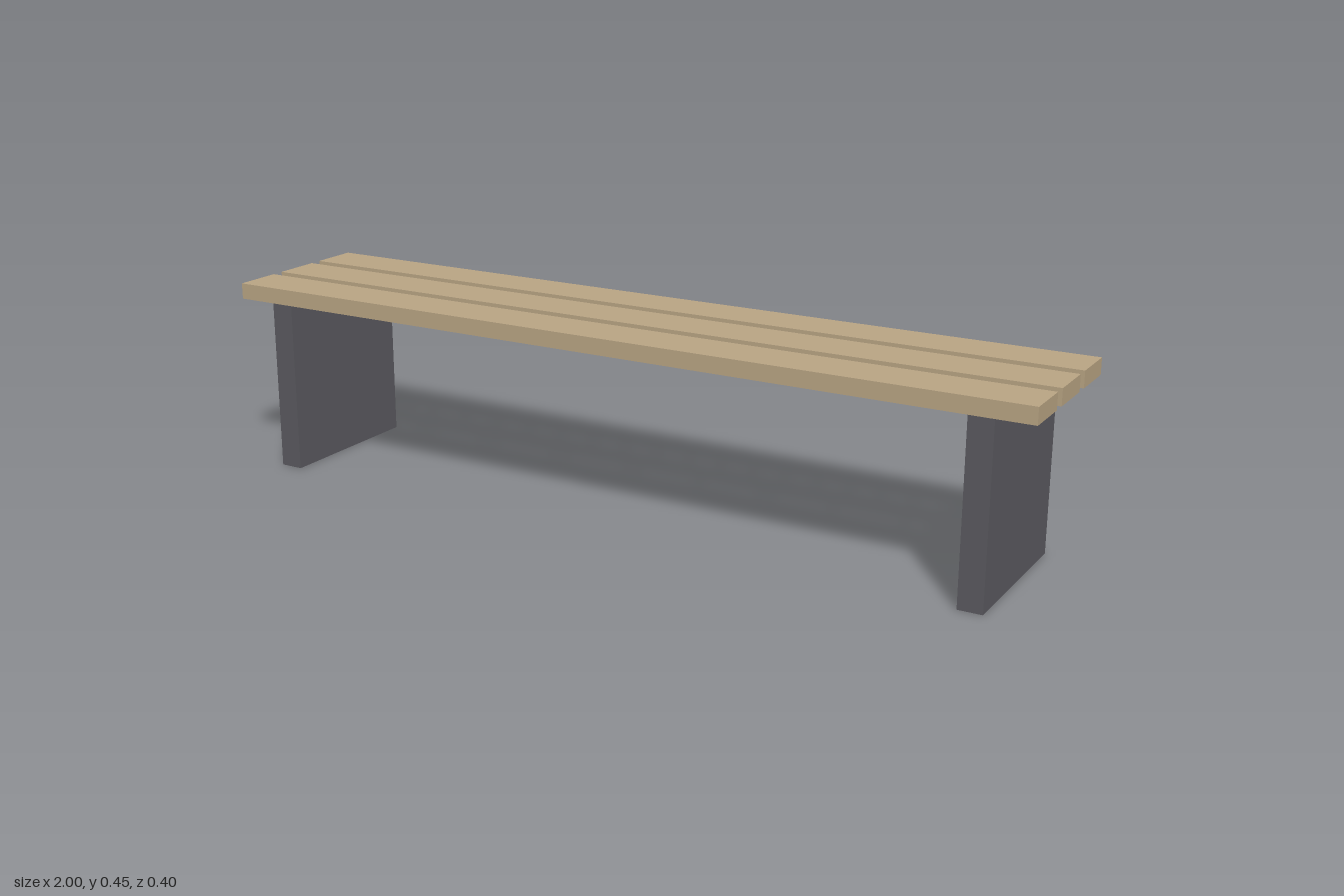
import * as THREE from 'three';

export function createModel() {
  const bench = new THREE.Group();
  bench.name = 'bench';

  const wood = new THREE.MeshStandardMaterial({ color: 0xb8a483 });
  wood.name = 'wood';
  const darkGrey = new THREE.MeshStandardMaterial({ color: 0x5a595f });
  darkGrey.name = 'darkGrey';

  const addBox = (name, material, size, position) => {
    const mesh = new THREE.Mesh(new THREE.BoxGeometry(...size), material);
    mesh.name = name;
    mesh.position.set(...position);
    bench.add(mesh);
  };

  // Three long seat planks with gaps between them
  ['backPlank', 'middlePlank', 'frontPlank'].forEach((name, i) => {
    addBox(name, wood, [2, 0.038, 0.115], [0, 0.434, (i - 1) * 0.1442]);
  });

  // Slab legs, let into the planks so their tops show in the gaps
  const legHeight = 0.432;
  for (const side of [-1, 1]) {
    addBox(side > 0 ? 'leftLeg' : 'rightLeg', darkGrey,
      [0.056, legHeight, 0.384], [side * 0.884, legHeight / 2, 0]);
  }

  return bench;
}
